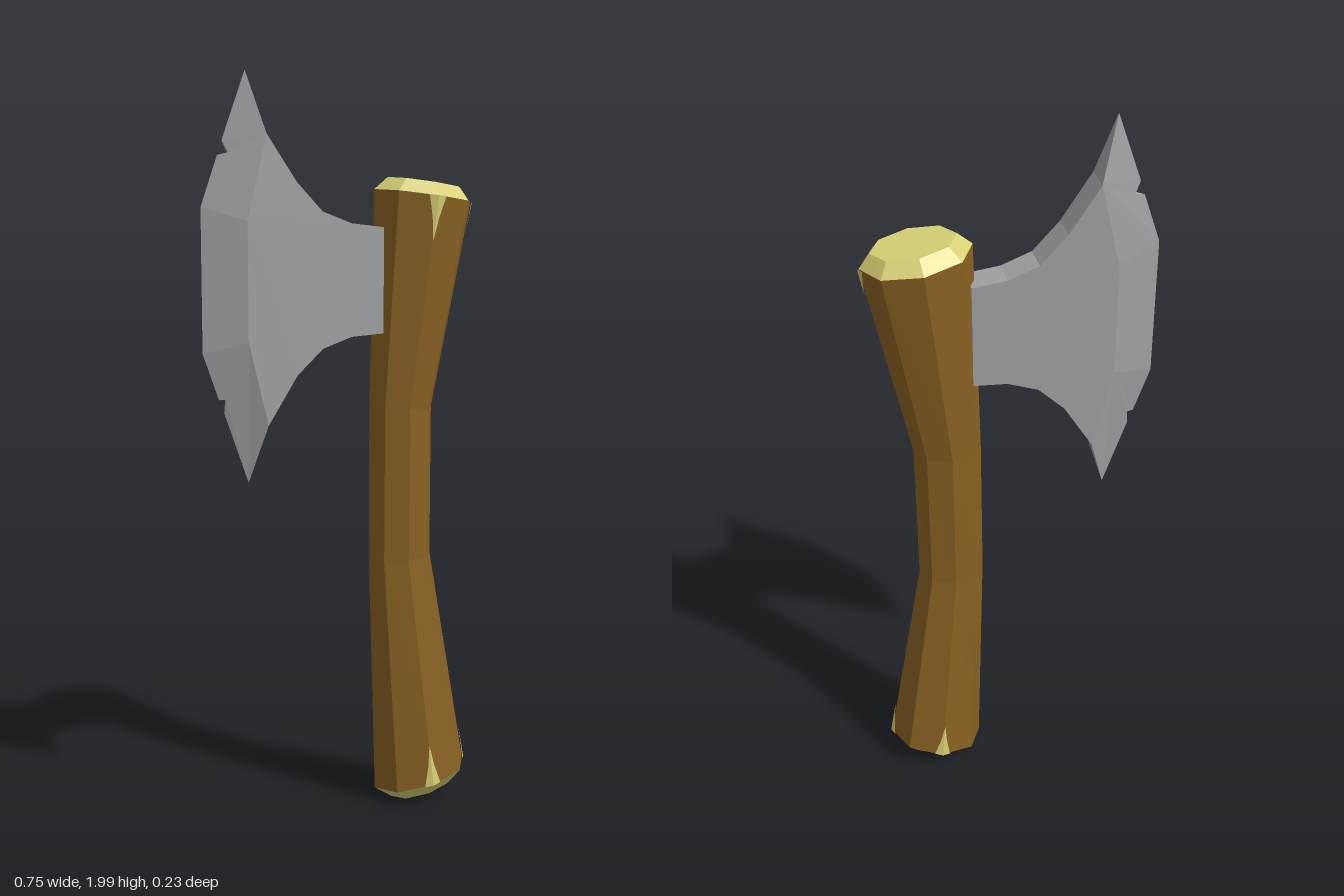
import * as THREE from 'three';

const wood = new THREE.MeshStandardMaterial({ color: 0x8a6222 });
wood.name = 'wood';
const paleWood = new THREE.MeshStandardMaterial({ color: 0xd8d074 });
paleWood.name = 'pale cut wood';
const steel = new THREE.MeshStandardMaterial({ color: 0xa0a1a2 });
steel.name = 'steel';

// Faceted mesh from a list of triangles, each three Vector3 corners
function facetMesh(name, triangles, material) {
  const geometry = new THREE.BufferGeometry().setFromPoints(triangles.flat());
  geometry.computeVertexNormals();
  const mesh = new THREE.Mesh(geometry, material);
  mesh.name = name;
  return mesh;
}

const quad = (a, b, c, d) => [[a, b, c], [a, c, d]];

// Tilted octagonal ring from its leftmost point, rightmost point and half depth
const SIDES = 8;
function ring(x0, y0, x1, y1, depth) {
  return Array.from({ length: SIDES }, (_, i) => {
    const a = (i / SIDES) * Math.PI * 2;
    const t = (Math.cos(a) + 1) / 2;
    return new THREE.Vector3(x0 + (x1 - x0) * t, y0 + (y1 - y0) * t, Math.sin(a) * depth);
  });
}

function loft(lower, upper) {
  return lower.flatMap((p, i) => {
    const j = (i + 1) % SIDES;
    return quad(p, upper[i], upper[j], lower[j]);
  });
}

function disc(points, up) {
  const centre = points[0].clone().lerp(points[SIDES / 2], 0.5);
  return points.map((p, i) => {
    const q = points[(i + 1) % SIDES];
    return up ? [centre, q, p] : [centre, p, q];
  });
}

// Thin split of bare wood folded over a handle edge
function chip(rim, next, k, length, isTop) {
  const out = new THREE.Vector3(Math.cos(k * Math.PI / 4), 0, Math.sin(k * Math.PI / 4)).multiplyScalar(0.004);
  const corner = rim[k].clone().add(out);
  const tip = rim[k].clone().lerp(next[k], length).add(out);
  const triangles = [];
  for (const s of [1, -1]) {
    const n = (k + s + SIDES) % SIDES;
    const side = rim[k].clone().lerp(rim[n], 0.24).add(out);
    const notch = side.clone().lerp(tip, 0.55).lerp(corner, 0.12);
    const fan = [[corner, side, notch], [corner, notch, tip]];
    for (const [a, b, c] of fan) triangles.push((s > 0) === isTop ? [a, b, c] : [a, c, b]);
  }
  return facetMesh('woodChip', triangles, paleWood);
}

function buildHandle() {
  const handle = new THREE.Group();
  handle.name = 'handle';
  const bottomCap = ring(0.155, 0.008, 0.335, 0.05, 0.065);
  const bottom = ring(0.105, 0.04, 0.372, 0.10, 0.108);
  const lowMid = ring(0.085, 0.70, 0.265, 0.71, 0.07);
  const highMid = ring(0.085, 1.125, 0.265, 1.12, 0.073);
  const top = ring(0.097, 1.705, 0.375, 1.67, 0.11);
  const topCap = ring(0.135, 1.737, 0.347, 1.708, 0.08);

  handle.add(
    facetMesh('shaft', [...loft(bottom, lowMid), ...loft(lowMid, highMid), ...loft(highMid, top)], wood),
    facetMesh('topEnd', [...loft(top, topCap), ...disc(topCap, true)], paleWood),
    facetMesh('bottomEnd', [...loft(bottomCap, bottom), ...disc(bottomCap, false)], paleWood),
    chip(top, highMid, 0, 0.13, true),
    chip(top, highMid, 2, 0.21, true),
    chip(bottom, lowMid, 0, 0.17, false),
    chip(bottom, lowMid, 2, 0.18, false),
    chip(bottom, lowMid, 6, 0.18, false)
  );
  return handle;
}

function buildBlade() {
  const T = 0.04; // half thickness
  const points = (list) => list.map(([x, y, z = T]) => new THREE.Vector3(x, y, z));

  // Curved necks running from the handle out to the flare
  const upperNeck = points([[0.11, 1.605], [0.02, 1.615], [-0.06, 1.645], [-0.13, 1.72], [-0.21, 1.84]]);
  const lowerNeck = points([[-0.21, 1.09], [-0.13, 1.22], [-0.06, 1.288], [0.02, 1.318], [0.11, 1.325]]);
  // Start of the ground bevel
  const bevel = points([[-0.262, 1.62], [-0.262, 1.31]]);
  // Sharp edge with a nick in each half
  const upperEdge = points([[-0.255, 2, 0], [-0.318, 1.823, 0], [-0.303, 1.793, 0.009],
    [-0.33, 1.786, 0], [-0.375, 1.655, 0]]);
  const lowerEdge = points([[-0.375, 1.28, 0], [-0.333, 1.158, 0], [-0.315, 1.16, 0.007],
    [-0.319, 1.122, 0], [-0.255, 0.935, 0]]);

  const faces = [
    [...upperNeck, ...bevel, ...lowerNeck],
    [upperNeck[4], ...upperEdge, bevel[0]],
    [bevel[0], upperEdge[4], lowerEdge[0], bevel[1]],
    [bevel[1], ...lowerEdge, lowerNeck[0]],
  ];
  const flip = (p) => new THREE.Vector3(p.x, p.y, -p.z);
  const triangles = [];

  // Both cheeks
  for (const face of faces) {
    const flat = face.map((p) => new THREE.Vector2(p.x, p.y));
    for (const ids of THREE.ShapeUtils.triangulateShape(flat, [])) {
      let [a, b, c] = ids.map((i) => face[i]);
      if ((b.x - a.x) * (c.y - a.y) - (b.y - a.y) * (c.x - a.x) < 0) [b, c] = [c, b];
      triangles.push([a, b, c], [flip(a), flip(c), flip(b)]);
    }
  }

  // Rim joining the cheeks wherever the outline has thickness
  const outline = [...upperNeck, ...upperEdge, ...lowerEdge, ...lowerNeck];
  outline.forEach((p, i) => {
    const q = outline[(i + 1) % outline.length];
    if (p.z > 0) triangles.push([p, flip(p), q]);
    if (q.z > 0) triangles.push([q, flip(p), flip(q)]);
  });
  return facetMesh('blade', triangles, steel);
}

export function createModel() {
  const axe = new THREE.Group();
  axe.name = 'axe';
  axe.add(buildHandle(), buildBlade());
  return axe;
}
